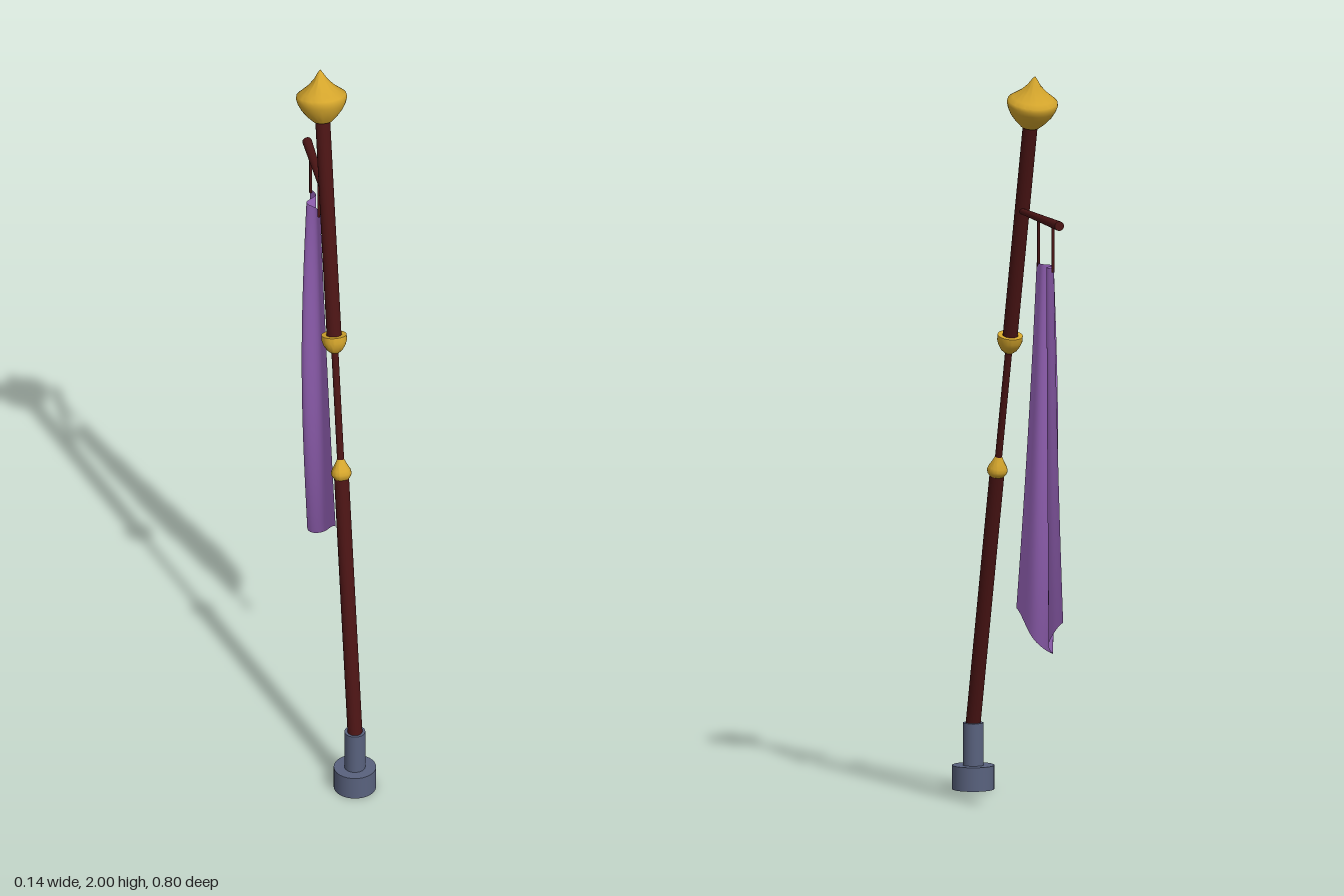
import * as THREE from 'three';
import { toCreasedNormals } from 'three/addons/utils/BufferGeometryUtils.js';

const mat = (color, side = THREE.FrontSide) => new THREE.MeshStandardMaterial({ color, side });
const wood = mat(0x4a1414);
const gold = mat(0xd4a52c);
const iron = mat(0x59627e);
const cloth = mat(0xa36cc8, THREE.DoubleSide);

function add(parent, name, geometry, material, x = 0, y = 0, z = 0) {
  const mesh = new THREE.Mesh(geometry, material);
  mesh.name = name;
  mesh.position.set(x, y, z);
  parent.add(mesh);
  return mesh;
}

// Cylinder standing between two heights
function rod(parent, name, material, rBottom, rTop, y0, y1, x = 0, z = 0) {
  const geo = new THREE.CylinderGeometry(rTop, rBottom, y1 - y0, 32);
  return add(parent, name, geo, material, x, (y0 + y1) / 2, z);
}

// Turned part from [radius, height] pairs, listed bottom to top
function turned(parent, name, material, profile, y) {
  const geo = new THREE.LatheGeometry(profile.map(p => new THREE.Vector2(...p)), 40);
  return add(parent, name, toCreasedNormals(geo, 0.75), material, 0, y, 0);
}

// Hanging cloth: v runs top to bottom, u from the pole side outward
function bannerGeometry() {
  const geo = new THREE.PlaneGeometry(1, 1, 32, 28);
  const pos = geo.attributes.position;
  const spread = THREE.MathUtils.lerp;
  for (let i = 0; i < pos.count; i++) {
    const u = pos.getX(i) + 0.5, v = 0.5 - pos.getY(i);
    const ease = 0.6 * v + 0.4 * v * v;
    const z = spread(spread(-0.194, -0.092, ease), spread(-0.323, -0.397, ease), u);
    const drop = 0.95 + 0.105 * Math.pow(Math.sin(Math.PI * u), 1.4);
    // folds across the width: out, in, out, back to the middle
    const fold = new THREE.CatmullRomCurve3([
      [0, spread(0.008, 0.03, v)],
      [0.25, spread(0.004, 0.015, v)],
      [0.5, -0.018 - 0.014 * Math.sin(Math.PI * Math.min(1, v))],
      [0.8, spread(0.014, 0.018, v)],
      [1, 0.004],
    ].map(([a, b]) => new THREE.Vector3(a, b, 0)));
    pos.setXYZ(i, fold.getPoint(u).y, 1.5 - v * drop, z);
  }
  geo.computeVertexNormals();
  return geo;
}

export function createModel() {
  const model = new THREE.Group();
  model.name = 'bannerStaff';

  // Upright socket
  const socket = new THREE.Group();
  socket.name = 'socket';
  socket.position.z = 0.342;
  model.add(socket);
  rod(socket, 'socketFoot', iron, 0.057, 0.057, 0, 0.065);
  rod(socket, 'socketSleeve', iron, 0.028, 0.028, 0.06, 0.18);

  // Leaning staff, built along its own axis
  const staff = new THREE.Group();
  staff.name = 'staff';
  staff.position.set(0, 0.17, 0.345);
  staff.rotation.x = -0.268;
  model.add(staff);
  rod(staff, 'lowerPole', wood, 0.02, 0.02, 0, 0.745);
  rod(staff, 'grip', wood, 0.0095, 0.0095, 0.73, 1.13);
  rod(staff, 'upperPole', wood, 0.02, 0.02, 1.1, 1.77);

  // Gold collars at both ends of the grip
  turned(staff, 'lowerCollar', gold, [
    [0, 0], [0.02, 0], [0.026, 0.008], [0.028, 0.016], [0.025, 0.026], [0.018, 0.038], [0.009, 0.056], [0, 0.056],
  ], 0.732);
  turned(staff, 'upperCollar', gold, [
    [0, 0], [0.013, 0], [0.022, 0.008], [0.03, 0.022], [0.034, 0.034], [0.034, 0.05], [0.021, 0.05], [0.021, 0.042], [0, 0.042],
  ], 1.092);

  // Pointed finial
  turned(staff, 'finial', gold, [
    [0, 0], [0.026, 0], [0.041, 0.015], [0.056, 0.034], [0.065, 0.052], [0.069, 0.066], [0.067, 0.075],
    [0.055, 0.084], [0.036, 0.099], [0.018, 0.119], [0.007, 0.137], [0, 0.146],
  ], 1.752);

  // Side arm with two cords
  const arm = add(model, 'arm', new THREE.CylinderGeometry(0.008, 0.013, 0.315, 20), wood, 0.005, 1.622, -0.212);
  arm.rotation.x = -Math.PI / 2;
  arm.scale.set(1, -1, 1);
  arm.geometry.scale(1, -1, 1).rotateX(Math.PI);
  arm.scale.set(1, 1, 1);
  arm.geometry = new THREE.CylinderGeometry(0.013, 0.008, 0.315, 20);
  for (const z of [-0.202, -0.318]) rod(model, 'cord', wood, 0.004, 0.004, 1.49, 1.622, 0.005, z);

  add(model, 'banner', bannerGeometry(), cloth);
  return model;
}
